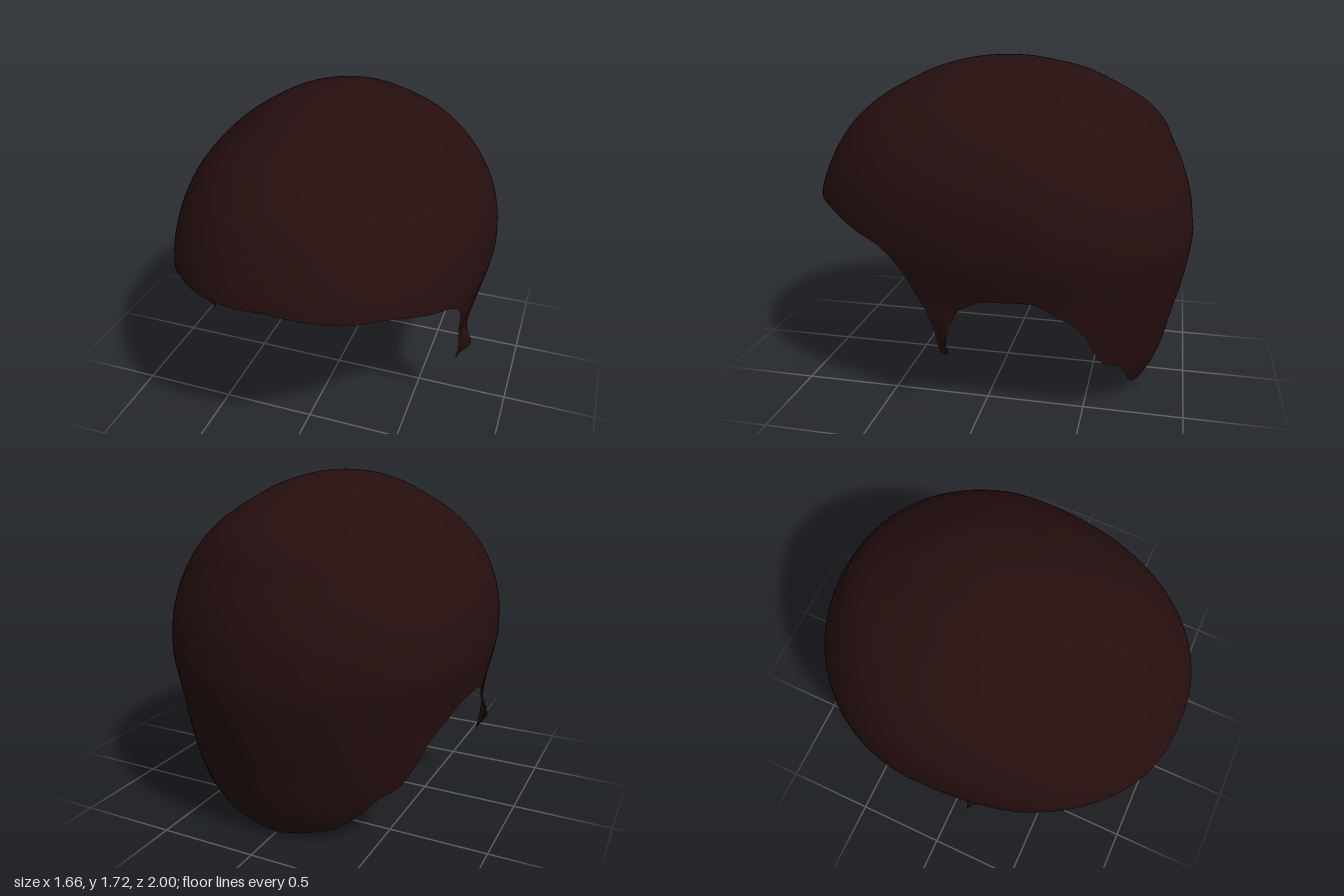
import * as THREE from 'three';

// Horizontal sections from crown to nape: height, front reach, back reach, half width
const SECTIONS = [
  [1.72, 0, 0, 0], [1.715, 0.10, 0.12, 0.09], [1.70, 0.21, 0.22, 0.17], [1.66, 0.36, 0.40, 0.29],
  [1.60, 0.50, 0.54, 0.40], [1.50, 0.68, 0.72, 0.55], [1.40, 0.80, 0.82, 0.655], [1.30, 0.88, 0.87, 0.73],
  [1.17, 0.95, 0.93, 0.79], [1.03, 1, 0.975, 0.822], [0.90, 1, 0.993, 0.83], [0.80, 1, 1, 0.82],
  [0.60, 1, 0.97, 0.775], [0.40, 1, 0.92, 0.755], [0.20, 1, 0.87, 0.70], [0.08, 1, 0.82, 0.62], [0, 1, 0.77, 0.55],
];

// Lower hairline on one side, front to nape: z, y
const HAIRLINE = [
  [1, 1.03], [0.95, 1.005], [0.9, 1], [0.8, 0.99], [0.7, 0.955], [0.6, 0.92], [0.47, 0.875], [0.37, 0.79],
  [0.3, 0.67], [0.24, 0.56], [0.2, 0.45], [0.185, 0.36], [0.165, 0.335], [0.14, 0.345], [0.135, 0.4],
  [0.125, 0.49], [0.1, 0.555], [0.07, 0.6], [0.02, 0.625], [-0.04, 0.655], [-0.15, 0.662], [-0.28, 0.66],
  [-0.34, 0.63], [-0.4, 0.585], [-0.48, 0.53], [-0.52, 0.47], [-0.6, 0.3], [-0.67, 0.25], [-0.72, 0.09],
  [-0.755, 0.045], [-0.77, 0],
];

const LAST = SECTIONS.length - 1;
const sections = new THREE.CubicInterpolant(SECTIONS.map((_, i) => i), SECTIONS.flat(), 4);

// Section at fractional index s, with its widest line and superellipse power
function sectionAt(s) {
  const [y, front, back, width] = sections.evaluate(s);
  const k = Math.min(1, s / 9);
  const zc = -0.15 * k;
  return { y, zc, width, front: front - zc, back: back + zc, frontPower: 2 + 0.3 * k };
}

// Section index for a given height
function indexAt(y) {
  let lo = 0, hi = LAST;
  for (let i = 0; i < 40; i++) {
    const mid = (lo + hi) / 2;
    if (sections.evaluate(mid)[0] > y) lo = mid; else hi = mid;
  }
  return (lo + hi) / 2;
}

// Point on the hair surface; angle runs from PI/2 (front) to -PI/2 (back)
function surfacePoint(s, angle) {
  const c = sectionAt(s);
  const sin = Math.sin(angle), cos = Math.max(0, Math.cos(angle));
  const power = sin > 0 ? c.frontPower : 2;
  const z = c.zc + (sin > 0 ? c.front : -c.back) * Math.abs(sin) ** (2 / power);
  let x = c.width * cos ** (2 / power);
  // Rear edge of the sideburn curls outwards
  if (z > 0 && z < 0.2) {
    x += 0.05 * Math.exp(-(((c.y - 0.44) / 0.06) ** 2)) * (1 - THREE.MathUtils.smoothstep(z, 0.13, 0.18));
  }
  return [x, c.y, z];
}

// Hairline as (angle, height), smoothed and evenly sampled
function hairlineColumns(count) {
  const points = HAIRLINE.map(([z, y]) => {
    const c = sectionAt(indexAt(y));
    const d = z - c.zc;
    const q = Math.min(1, Math.abs(d) / (d > 0 ? c.front : c.back));
    const angle = Math.asin(q ** ((d > 0 ? c.frontPower : 2) / 2));
    return new THREE.Vector3(d > 0 ? angle : -angle, y, 0);
  });
  points[0].x = Math.PI / 2;
  points[points.length - 1].x = -Math.PI / 2;
  return new THREE.CatmullRomCurve3(points).getSpacedPoints(count)
    .map((p) => ({ angle: p.x, end: indexAt(p.y) }));
}

function hairGeometry() {
  const half = hairlineColumns(140);
  const rows = 48, split = 30, shared = 8;
  const columns = [
    ...half.map((c) => ({ ...c, side: 1 })),
    ...half.slice(1, -1).reverse().map((c) => ({ ...c, side: -1 })),
  ];
  const position = [], index = [];
  columns.forEach(({ angle, end, side }, i) => {
    const next = (i + 1) % columns.length;
    for (let j = 0; j <= rows; j++) {
      // Level rows over the crown, then rows that fan down to the hairline
      const s = j <= split ? shared * j / split : shared + (end - shared) * (j - split) / (rows - split);
      const [x, y, z] = surfacePoint(s, angle);
      position.push(side * x, y, z);
      if (j === rows) continue;
      const a = i * (rows + 1) + j, b = next * (rows + 1) + j;
      index.push(a, a + 1, b + 1);
      if (j > 0) index.push(a, b + 1, b);
    }
  });
  const geometry = new THREE.BufferGeometry();
  geometry.setAttribute('position', new THREE.Float32BufferAttribute(position, 3));
  geometry.setIndex(index);
  geometry.computeVertexNormals();
  // All columns meet at the crown
  for (let i = 0; i < columns.length; i++) geometry.attributes.normal.setXYZ(i * (rows + 1), 0, 1, 0);
  return geometry;
}

export function createModel() {
  const group = new THREE.Group();
  group.name = 'hairCap';
  const darkBrown = new THREE.MeshStandardMaterial({ color: 0x250f0e, side: THREE.DoubleSide });
  darkBrown.name = 'darkBrown';
  const hair = new THREE.Mesh(hairGeometry(), darkBrown);
  hair.name = 'hair';
  group.add(hair);
  return group;
}
